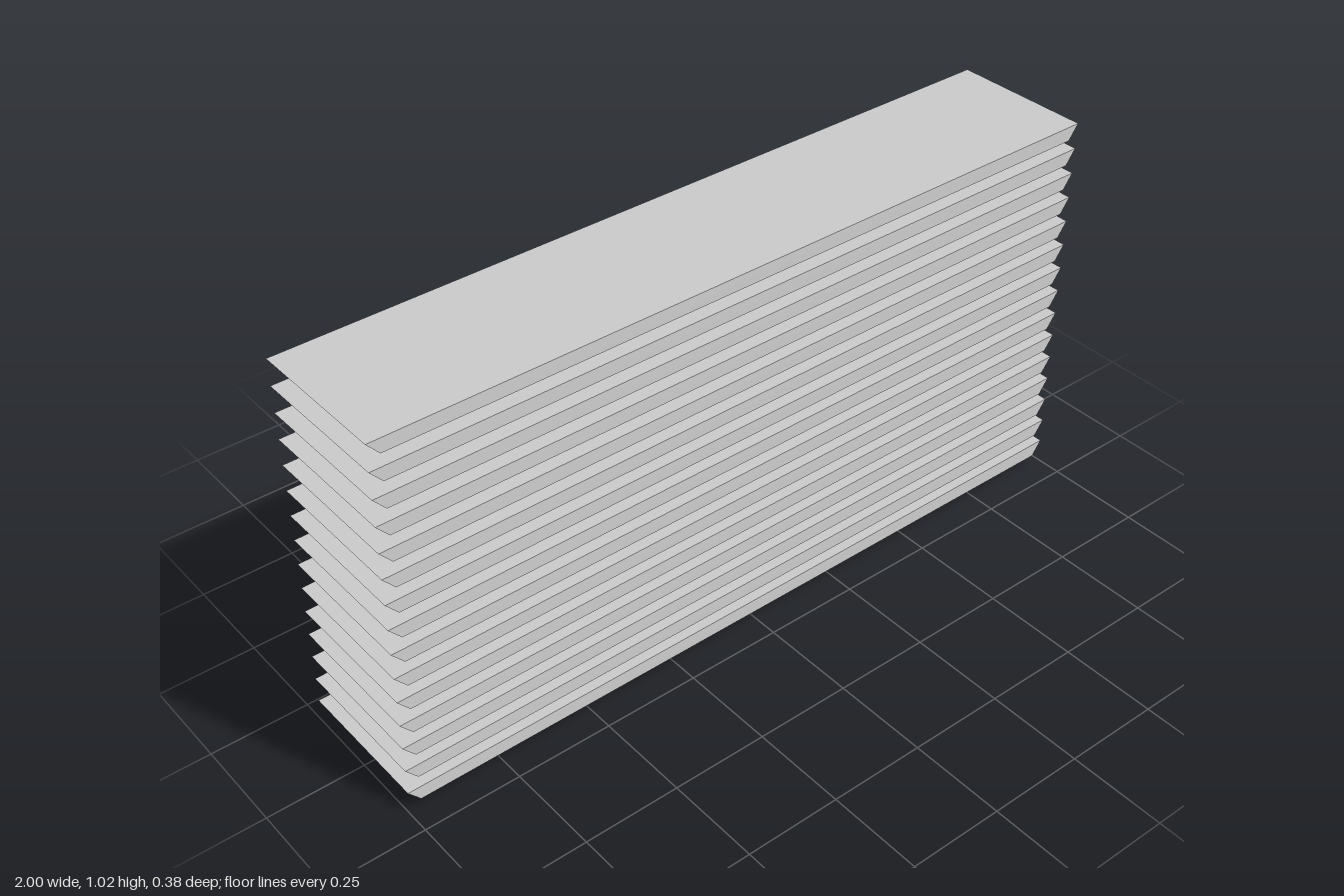
import * as THREE from 'three';

// Corner rings of one plank, bottom to top; each corner is [x, y, z],
// ordered front left edge, front right edge, back right edge, back left edge.
const RINGS = [
  [[-0.92, 0.002, 0.09], [0.92, 0, 0.08], [0.92, 0, -0.115], [-0.92, 0.002, -0.11]],
  [[-0.97, 0.03, 0.192], [0.97, 0.028, 0.183], [0.97, 0.026, -0.191], [-0.97, 0.027, -0.188]],
  [[-1, 0.064, 0.19], [1, 0.064, 0.181], [1, 0.061, -0.192], [-1, 0.061, -0.187]],
];
const COUNT = 15;
const PITCH = 0.068;

// Joins the rings with side faces and closes bottom and top.
function plankGeometry() {
  const index = [];
  const quad = (a, b, c, d) => index.push(a, b, c, a, c, d);
  for (let r = 0; r < RINGS.length - 1; r++) {
    for (let i = 0; i < 4; i++) {
      const j = (i + 1) % 4;
      quad(r * 4 + i, r * 4 + j, r * 4 + 4 + j, r * 4 + 4 + i);
    }
  }
  quad(3, 2, 1, 0);
  const t = (RINGS.length - 1) * 4;
  quad(t, t + 1, t + 2, t + 3);

  const indexed = new THREE.BufferGeometry();
  indexed.setAttribute('position', new THREE.Float32BufferAttribute(RINGS.flat(2), 3));
  indexed.setIndex(index);
  const geometry = indexed.toNonIndexed();
  geometry.computeVertexNormals();
  return geometry;
}

export function createModel() {
  const model = new THREE.Group();
  model.name = 'plankStack';
  const material = new THREE.MeshStandardMaterial({ color: 0xcccccc, flatShading: true });
  const geometry = plankGeometry();

  // Identical planks stacked with a narrow gap between them
  for (let i = 0; i < COUNT; i++) {
    const plank = new THREE.Mesh(geometry, material);
    plank.name = `plank${i + 1}`;
    plank.position.y = i * PITCH;
    model.add(plank);
  }
  return model;
}
